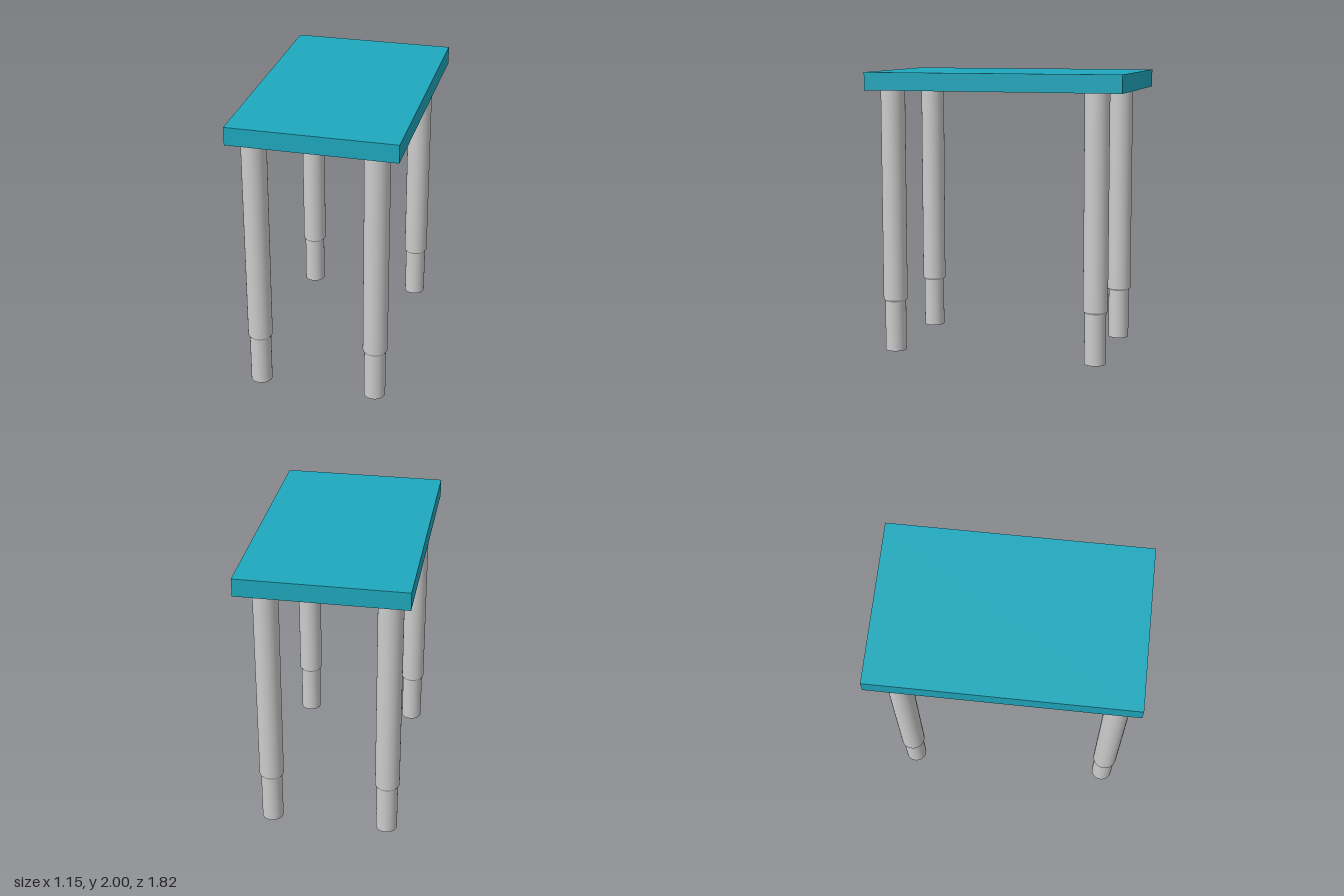
import * as THREE from 'three';
import { toCreasedNormals } from 'three/addons/utils/BufferGeometryUtils.js';

const TOP_Y = 1.875; // underside of the table top
const SLEEVE_Y = 0.36; // lower end of the outer leg sleeve

// Turned part from [radius, height] pairs, with crisp rims
function turned(profile) {
  const points = profile.map(([r, y]) => new THREE.Vector2(r, y));
  return toCreasedNormals(new THREE.LatheGeometry(points, 40), 0.5);
}

export function createModel() {
  const group = new THREE.Group();
  const grey = new THREE.MeshStandardMaterial({ color: 0xcccccc });
  const teal = new THREE.MeshStandardMaterial({ color: 0x1fa8bd });

  // Table top
  const top = new THREE.Mesh(new THREE.BoxGeometry(1.15, 2 - TOP_Y, 1.82), teal);
  top.name = 'tableTop';
  top.position.y = (2 + TOP_Y) / 2;
  group.add(top);

  // Outer sleeve with a small chamfered step at its lower end
  const sleeve = turned([
    [0.07, SLEEVE_Y], [0.076, SLEEVE_Y], [0.086, SLEEVE_Y + 0.015], [0.086, TOP_Y],
  ]);
  // Inner leg tube: bored from below, with a flat foot rim
  const tube = turned([
    [0, 0.5], [0.037, 0.5], [0.037, 0], [0.075, 0], [0.075, SLEEVE_Y + 0.02],
  ]);

  // Four telescopic legs
  for (const [side, x] of [['left', 0.405], ['right', -0.424]]) {
    for (const [end, z] of [['Front', 0.763], ['Back', -0.708]]) {
      const leg = new THREE.Group();
      leg.name = `${side}${end}Leg`;
      const outer = new THREE.Mesh(sleeve, grey);
      outer.name = 'legSleeve';
      const inner = new THREE.Mesh(tube, grey);
      inner.name = 'legTube';
      leg.add(outer, inner);
      leg.position.set(x, 0, z);
      group.add(leg);
    }
  }
  return group;
}
